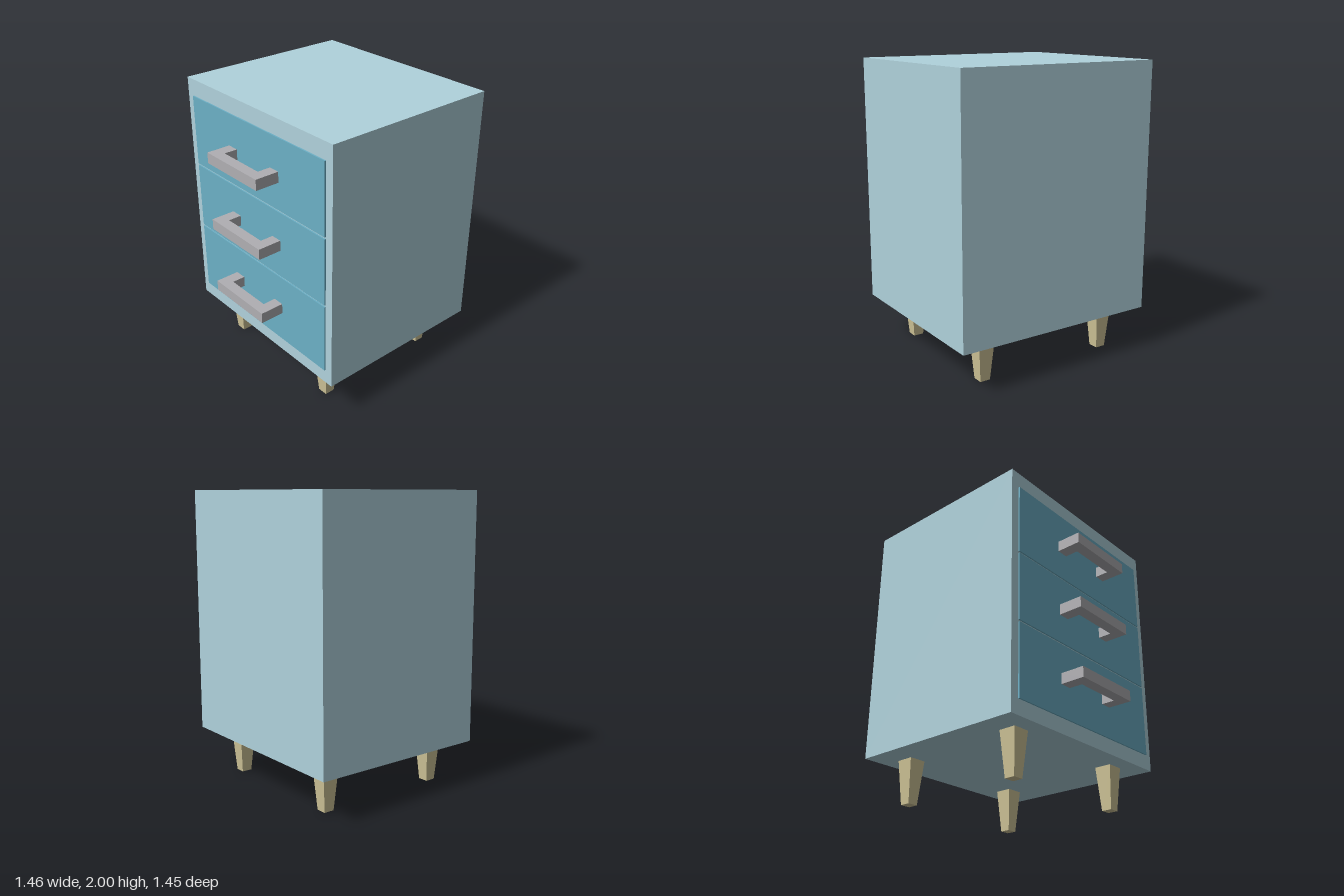
import * as THREE from 'three';

const paint = (color) => new THREE.MeshStandardMaterial({ color, flatShading: true });

// Box given by its min and max corners
function box(name, material, [x0, y0, z0], [x1, y1, z1]) {
  const mesh = new THREE.Mesh(new THREE.BoxGeometry(x1 - x0, y1 - y0, z1 - z0), material);
  mesh.position.set((x0 + x1) / 2, (y0 + y1) / 2, (z0 + z1) / 2);
  mesh.name = name;
  return mesh;
}

export function createModel() {
  const model = new THREE.Group();
  model.name = 'bedsideCabinet';
  const bodyPaint = paint(0xb0d2dc);
  const drawerPaint = paint(0x6cb0c6);
  const metal = paint(0xb0afb3);
  const wood = paint(0xd0c598);

  const front = 0.547;
  model.add(box('cabinetBody', bodyPaint, [-0.73, 0.297, -0.725], [0.725, 2, front]));

  // U-shaped pull, extruded upward
  const u = [[-0.27, 0.55], [-0.27, 0.725], [0.24, 0.725], [0.24, 0.55],
    [0.16, 0.55], [0.16, 0.65], [-0.187, 0.65], [-0.187, 0.55]];
  const pullShape = new THREE.Shape(u.map(([x, z]) => new THREE.Vector2(x, -z)));
  const pull = new THREE.ExtrudeGeometry(pullShape, { depth: 0.074, bevelEnabled: false });
  pull.rotateX(-Math.PI / 2);

  // Drawer fronts, each with its pull: bottom, top and pull height
  const drawers = [[0.4, 0.897, 0.618], [0.91, 1.382, 1.106], [1.395, 1.886, 1.589]];
  for (const [y0, y1, pullY] of drawers) {
    const drawer = new THREE.Group();
    drawer.name = 'drawer';
    drawer.add(box('drawerFront', drawerPaint, [-0.667, y0, front - 0.02], [0.667, y1, 0.557]));
    const handle = new THREE.Mesh(pull, metal);
    handle.name = 'drawerHandle';
    handle.position.y = pullY;
    drawer.add(handle);
    model.add(drawer);
  }

  // Square tapered legs
  const legGeometry = new THREE.CylinderGeometry(0.06 * Math.SQRT2, 0.036 * Math.SQRT2, 0.297, 4);
  legGeometry.rotateY(Math.PI / 4);
  for (const x of [-0.498, 0.469]) {
    for (const z of [0.366, -0.532]) {
      const leg = new THREE.Mesh(legGeometry, wood);
      leg.name = 'leg';
      leg.position.set(x, 0.1485, z);
      model.add(leg);
    }
  }
  return model;
}
